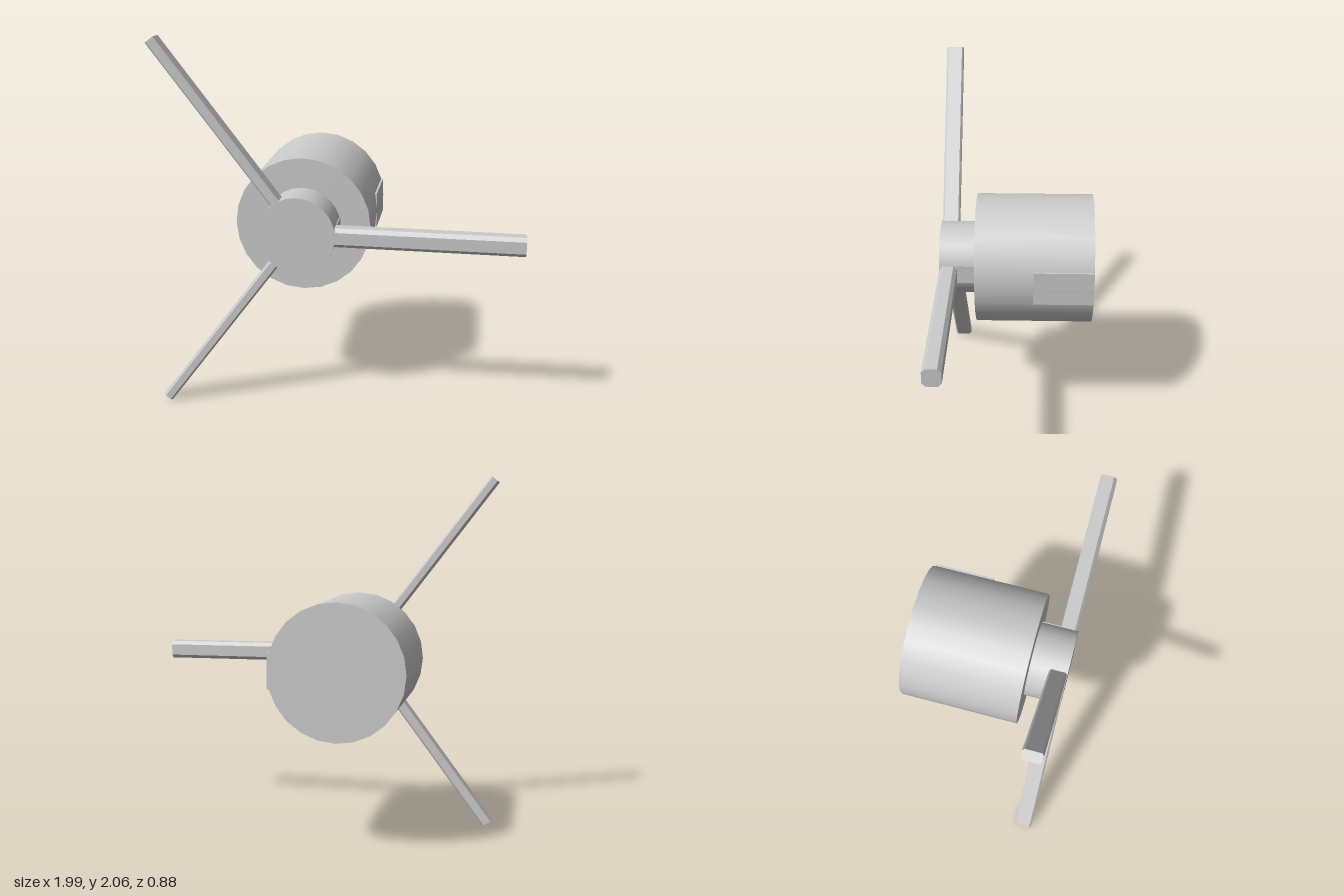
import * as THREE from 'three';

const CX = -0.222, CY = 0.98;
const mat = new THREE.MeshStandardMaterial({ color: 0xcccccc });

function add(parent, name, geo, x, y, z) {
  const mesh = new THREE.Mesh(geo, mat);
  mesh.name = name;
  mesh.position.set(x, y, z);
  parent.add(mesh);
  return mesh;
}

// Capped drum lying along z, from z0 to z1
function drum(parent, name, radius, z0, z1) {
  const geo = new THREE.CylinderGeometry(radius, radius, z1 - z0, 24).rotateX(Math.PI / 2);
  return add(parent, name, geo, CX, CY, (z0 + z1) / 2);
}

// Straight bar along +x with corners cut by c: w across, d deep in z
function bar(x0, x1, w, d, c) {
  const a = w / 2, b = d / 2;
  const outline = [
    [-b, -a + c], [-b + c, -a], [b - c, -a], [b, -a + c],
    [b, a - c], [b - c, a], [-b + c, a], [-b, a - c],
  ].map(([u, v]) => new THREE.Vector2(u, v));
  return new THREE.ExtrudeGeometry(new THREE.Shape(outline), { depth: x1 - x0, bevelEnabled: false })
    .rotateY(Math.PI / 2)
    .translate(x0, 0, 0);
}

export function createModel() {
  const model = new THREE.Group();
  model.name = 'propellerMotor';

  // Motor housing and hub
  drum(model, 'motorHousing', 0.375, -0.44, 0.23);
  drum(model, 'hub', 0.21, 0.23, 0.44);

  // Flat panel on the side of the housing
  add(model, 'sidePanel', new THREE.BoxGeometry(0.08, 0.2, 0.34), 0.111, 0.98, -0.27);

  // Block behind the root of the wide blade
  add(model, 'bladeSocket', new THREE.BoxGeometry(0.1, 0.11, 0.11), -0.063, 0.975, 0.285);

  // Wide blade to the side
  const wide = add(model, 'wideBlade', bar(0.12, 1.212, 0.105, 0.1, 0.02), CX, CY - 0.005, 0.388);
  wide.rotation.z = -0.008;

  // Two narrow blades, mirrored above and below
  for (const side of [1, -1]) {
    const blade = add(model, side > 0 ? 'upperBlade' : 'lowerBlade',
      bar(0.17, 1.255, 0.055, 0.1, 0.01), CX, CY + 0.02, 0.388);
    if (side < 0) blade.position.y = CY;
    blade.rotation.z = side * THREE.MathUtils.degToRad(127);
  }
  return model;
}
